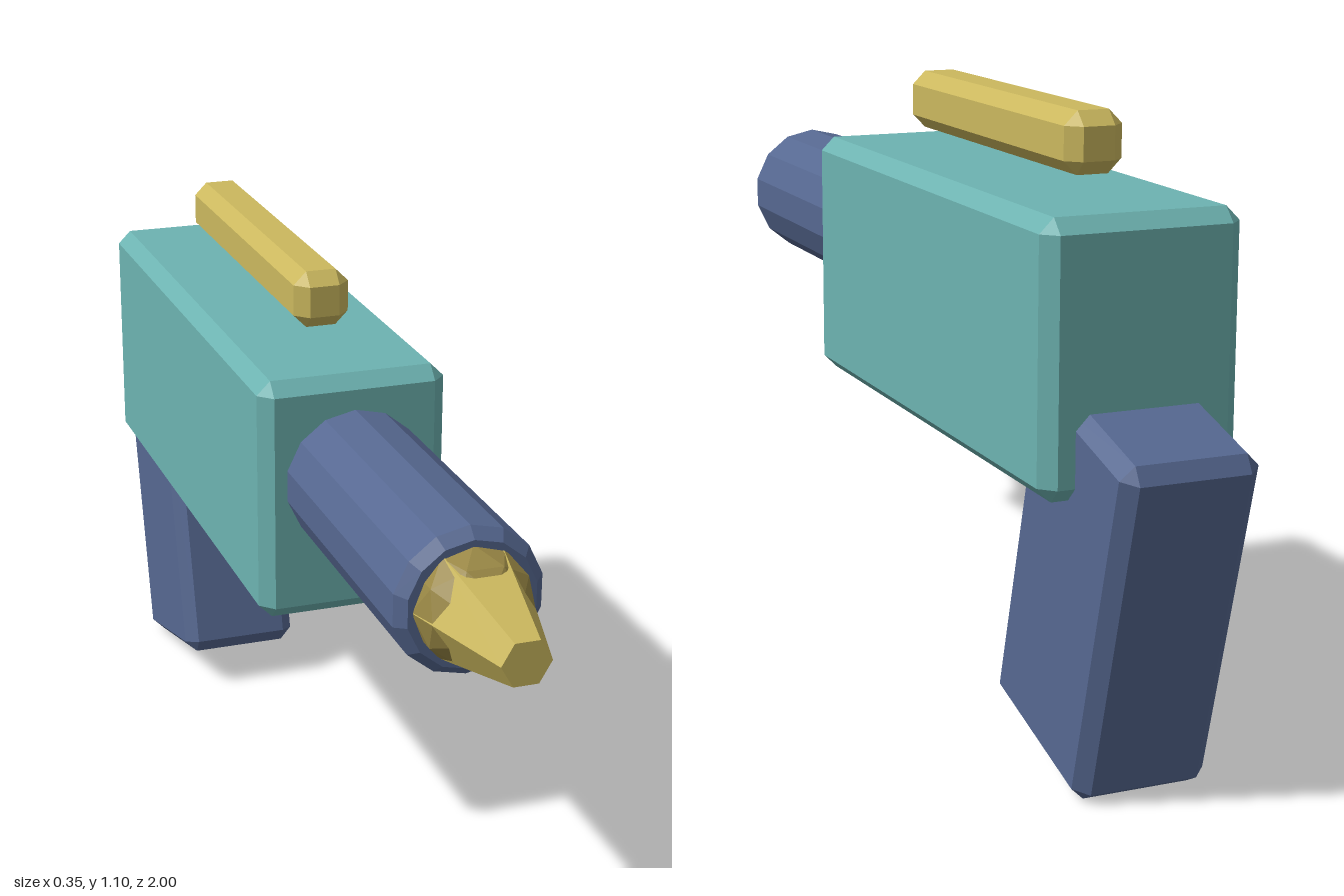
import * as THREE from 'three';
import { ConvexGeometry } from 'three/addons/geometries/ConvexGeometry.js';

const paint = (name, color) => {
  const m = new THREE.MeshStandardMaterial({ color });
  m.name = name;
  return m;
};

// Box with every edge cut at 45 degrees
function chamferBox(w, h, d, c) {
  const pts = [];
  for (const x of [-1, 1]) for (const y of [-1, 1]) for (const z of [-1, 1]) {
    const X = w / 2, Y = h / 2, Z = d / 2;
    pts.push(
      new THREE.Vector3(x * X, y * (Y - c), z * (Z - c)),
      new THREE.Vector3(x * (X - c), y * Y, z * (Z - c)),
      new THREE.Vector3(x * (X - c), y * (Y - c), z * Z));
  }
  return new ConvexGeometry(pts);
}

// Separate faces so each one has its own flat normal
function faceted(geo) {
  const g = geo.index ? geo.toNonIndexed() : geo;
  g.computeVertexNormals();
  return g;
}

export function createModel() {
  const teal = paint('teal', 0x6db3b1);
  const blue = paint('slate blue', 0x566891);
  const gold = paint('gold', 0xcbb85e);
  const darkGold = paint('dark gold', 0x9a8845);

  const model = new THREE.Group();
  model.name = 'toyBlaster';
  const add = (name, geo, mat, x, y, z) => {
    const mesh = new THREE.Mesh(geo, mat);
    mesh.name = name;
    mesh.position.set(x, y, z);
    model.add(mesh);
    return mesh;
  };

  add('body', chamferBox(0.35, 0.455, 1.05, 0.025), teal, 0, 0.7305, -0.3);
  add('topRail', chamferBox(0.104, 0.105, 0.705, 0.024), gold, 0, 1.044, -0.297);

  // Grip leans back at the top
  const grip = add('grip', chamferBox(0.24, 0.626, 0.347, 0.024), blue, 0, 0.341, -0.757);
  grip.rotation.x = -Math.PI / 12;

  // Fourteen-sided barrel with chamfered ends
  const profile = [[0, 0.12], [0.112, 0.12], [0.13, 0.14], [0.13, 0.765], [0.112, 0.785], [0, 0.785]]
    .map(([r, y]) => new THREE.Vector2(r, y));
  const barrel = faceted(new THREE.LatheGeometry(profile, 14)).rotateX(Math.PI / 2);
  add('barrel', barrel, blue, 0, 0.766, 0);

  // Ball in the muzzle, with a six-sided tapered tip through it
  add('muzzleBall', faceted(new THREE.IcosahedronGeometry(0.102, 1)), darkGold, 0, 0.766, 0.78);
  const tip = faceted(new THREE.CylinderGeometry(0.042, 0.105, 0.23, 6, 1, false, Math.PI / 2))
    .rotateX(Math.PI / 2);
  add('muzzleTip', tip, gold, 0, 0.766, 0.885);

  return model;
}
